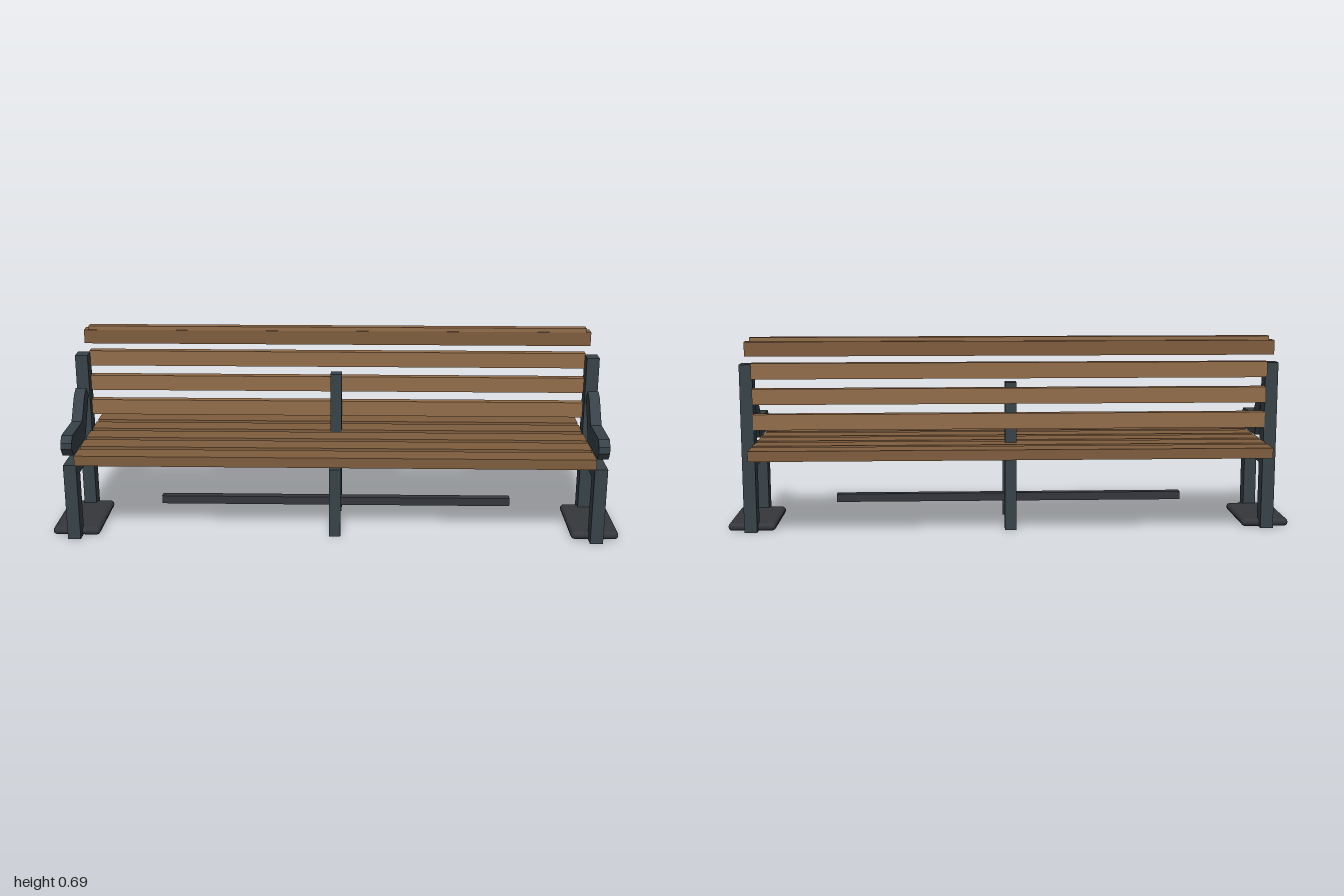
import * as THREE from 'three';
import { RoundedBoxGeometry } from 'three/addons/geometries/RoundedBoxGeometry.js';

const mat = (color) => new THREE.MeshStandardMaterial({ color });

export function createModel() {
  const bench = new THREE.Group();
  bench.name = 'bench';
  const darkWood = mat(0x7f5d3e), lightWood = mat(0x936d4b);
  const iron = mat(0x374248), darkIron = mat(0x35373c);

  // Box given by its extents along each axis
  const box = (parent, name, material, [x0, x1], [y0, y1], [z0, z1]) => {
    const mesh = new THREE.Mesh(new THREE.BoxGeometry(x1 - x0, y1 - y0, z1 - z0), material);
    mesh.position.set((x0 + x1) / 2, (y0 + y1) / 2, (z0 + z1) / 2);
    mesh.name = name;
    parent.add(mesh);
  };

  // Seat: five flat planks
  const span = [-0.895, 0.895];
  for (let i = 0; i < 5; i++) {
    const z = 0.203 - i * 0.1037;
    box(bench, 'seatSlat', darkWood, span, [0.28, 0.316], [z - 0.039, z + 0.039]);
  }

  // Back: four slats stepping rearward as they rise, with a thick top rail
  for (let i = 0; i < 4; i++) {
    const y = 0.366 + i * 0.09, z = -0.084 - i * 0.008;
    box(bench, 'backSlat', lightWood, span, [y, y + 0.055], [z - 0.031, z]);
  }
  box(bench, 'topRail', darkWood, [-0.912, 0.912], [0.627, 0.677], [-0.15, -0.107]);

  // Armrest outline in (z, y), extruded across the width of the end frame
  const outline = [
    [0.252, 0.365], [0.23, 0.387], [0.075, 0.387], [0.012, 0.467], [-0.022, 0.483],
    [-0.048, 0.45], [0.04, 0.315], [0.232, 0.315], [0.252, 0.343],
  ];
  const armShape = new THREE.Shape(outline.map(([z, y]) => new THREE.Vector2(-z, y)));
  const armGeometry = new THREE.ExtrudeGeometry(armShape, { depth: 0.038, bevelEnabled: false });
  armGeometry.translate(0, 0, -0.019).rotateY(Math.PI / 2);

  // End frames, one on each side
  for (const side of [-1, 1]) {
    const frame = new THREE.Group();
    frame.name = side > 0 ? 'leftEndFrame' : 'rightEndFrame';
    frame.position.x = side * 0.916;
    const width = [-0.0225, 0.0225];
    box(frame, 'backPost', iron, width, [0, 0.595], [-0.111, -0.055]);
    box(frame, 'frontLeg', iron, width, [0, 0.275], [0.169, 0.225]);
    box(frame, 'seatRail', iron, width, [0.231, 0.275], [-0.055, 0.169]);

    const arm = new THREE.Mesh(armGeometry, iron);
    arm.name = 'armrest';
    frame.add(arm);

    const foot = new THREE.Mesh(new RoundedBoxGeometry(0.167, 0.028, 0.28, 3, 0.0135), darkIron);
    foot.name = 'footPlate';
    foot.position.set(0, 0.014, 0.051);
    frame.add(foot);
    bench.add(frame);
  }

  // Centre supports and the low stretcher
  box(bench, 'centreBackPost', iron, [-0.02, 0.02], [0, 0.528], [-0.105, -0.064]);
  box(bench, 'centreFrontLeg', iron, [-0.02, 0.02], [0, 0.25], [0.139, 0.18]);
  box(bench, 'stretcher', darkIron, [-0.626, 0.626], [0.076, 0.105], [0.036, 0.066]);

  return bench;
}
